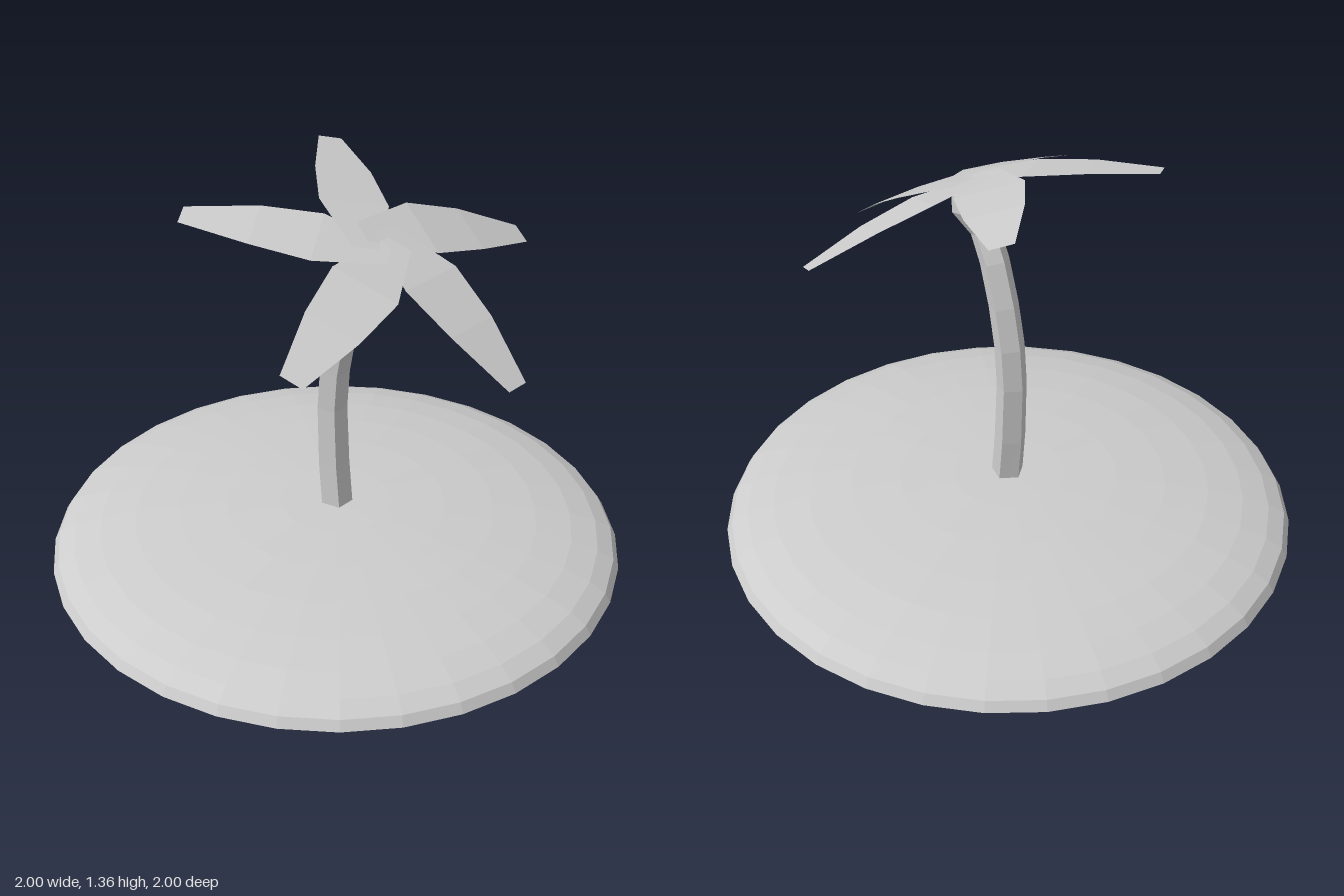
import * as THREE from 'three';

const grey = new THREE.MeshStandardMaterial({ color: 0xcccccc, flatShading: true, side: THREE.DoubleSide });
grey.name = 'plain grey';

function addMesh(parent, name, geometry) {
  const mesh = new THREE.Mesh(geometry, grey);
  mesh.name = name;
  parent.add(mesh);
  return mesh;
}

// Capped five-sided tube through rings of [y, z, forward tilt, radius]
function pentagonLoft(rings) {
  const positions = [], index = [], n = 5;
  for (const [y, z, tilt, r] of rings) {
    for (let k = 0; k < n; k++) {
      const a = (k / n) * Math.PI * 2, forward = -r * Math.cos(a);
      positions.push(r * Math.sin(a), y - forward * Math.sin(tilt), z + forward * Math.cos(tilt));
    }
  }
  for (let i = 0; i < rings.length - 1; i++) {
    for (let k = 0; k < n; k++) {
      const a = i * n + k, b = i * n + (k + 1) % n;
      index.push(a, a + n, b, b, a + n, b + n);
    }
  }
  const top = (rings.length - 1) * n;
  for (let k = 1; k < n - 1; k++) {
    index.push(0, k, k + 1, top, top + k + 1, top + k);
  }
  const g = new THREE.BufferGeometry();
  g.setAttribute('position', new THREE.Float32BufferAttribute(positions, 3));
  g.setIndex(index);
  g.computeVertexNormals();
  return g;
}

// Thin drooping leaf from cross-sections of [length, height, half width]
function leafGeometry(sections, offset) {
  const positions = [], index = [];
  sections.forEach(([z, y, w], i) => {
    positions.push(offset - w, y, z, offset + w, y, z);
    const a = i * 2;
    if (i < sections.length - 1) index.push(a, a + 2, a + 1, a + 1, a + 2, a + 3);
  });
  const g = new THREE.BufferGeometry();
  g.setAttribute('position', new THREE.Float32BufferAttribute(positions, 3));
  g.setIndex(index);
  g.computeVertexNormals();
  return g;
}

export function createModel() {
  const model = new THREE.Group();
  model.name = 'palmIsland';

  // Hollow, flattened dome of ground
  const dome = new THREE.SphereGeometry(1, 32, 8, 0, Math.PI * 2, 0, Math.PI / 2);
  dome.scale(1, 0.17, 1);
  addMesh(model, 'island', dome);

  // Curved trunk, its foot passing through the dome
  addMesh(model, 'trunk', pentagonLoft([
    [0.10, 0.009, -0.08, 0.057], [0.33, -0.012, -0.07, 0.056], [0.55, -0.02, 0.03, 0.054],
    [0.70, -0.008, 0.14, 0.054], [0.85, 0.022, 0.24, 0.053], [1.00, 0.068, 0.34, 0.052],
    [1.10, 0.118, 0.42, 0.051],
  ]));

  // Swollen crown under the leaves
  addMesh(model, 'crownBulb', pentagonLoft([
    [1.095, 0.118, 0.42, 0.051], [1.172, 0.148, 0.42, 0.094],
    [1.222, 0.168, 0.42, 0.082], [1.245, 0.178, 0.42, 0.045],
  ]));

  // Five leaves arranged as a pinwheel on a forward-tilted crown
  const crown = new THREE.Group();
  crown.name = 'leaves';
  crown.position.set(-0.014, 1.152, 0.165);
  crown.rotation.x = 0.382;
  const leaf = leafGeometry([
    [-0.038, 0.107, 0.043], [0.19, 0.09, 0.117], [0.387, 0.056, 0.096], [0.614, 0, 0.04],
  ], 0.052);
  for (let i = 0; i < 5; i++) {
    addMesh(crown, 'leaf' + (i + 1), leaf).rotation.y = (i * Math.PI * 2) / 5;
  }
  model.add(crown);
  return model;
}
